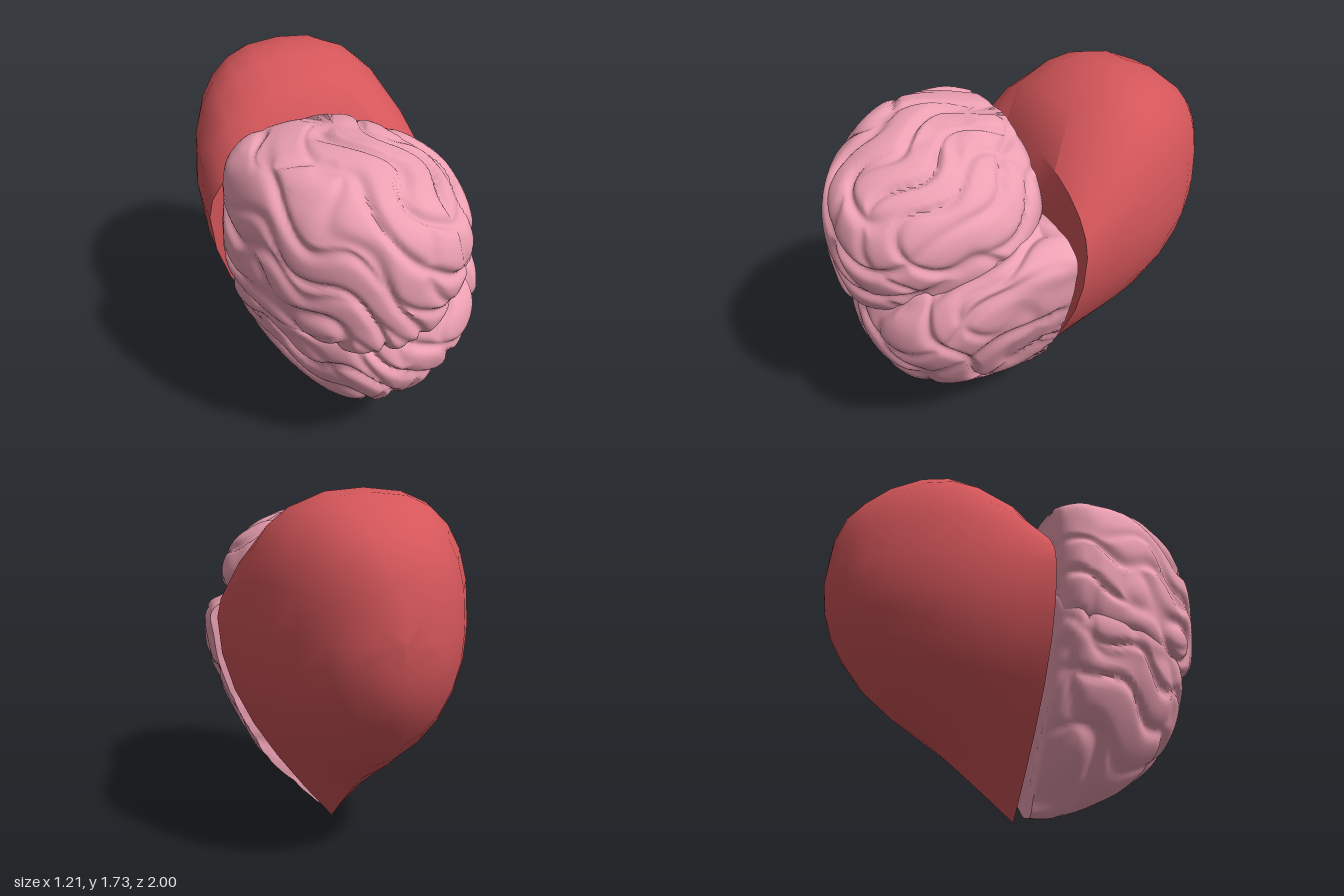
import * as THREE from 'three';
import { toCreasedNormals } from 'three/addons/utils/BufferGeometryUtils.js';

const { lerp, smoothstep } = THREE.MathUtils;

// Skin a stack of rings (arrays of [x, y, z]) into one surface, closed at both ends.
function skin(rings) {
  const n = rings[0].length, index = [];
  const collapse = (ring) => {
    const mid = [0, 1, 2].map((k) => ring.reduce((sum, p) => sum + p[k], 0) / n);
    return ring.map(() => mid);
  };
  const all = [collapse(rings[0]), ...rings, collapse(rings[rings.length - 1])];
  for (let i = 0; i < all.length - 1; i++) {
    for (let j = 0; j < n; j++) {
      const a = i * n + j, b = i * n + ((j + 1) % n);
      index.push(a, a + n, b + n, a, b + n, b);
    }
  }
  const g = new THREE.BufferGeometry();
  g.setAttribute('position', new THREE.Float32BufferAttribute(all.flat(2), 3));
  g.setIndex(index);
  g.computeVertexNormals();
  return g;
}

// Half heart: vertical slices running back from the cut face.
function heartGeometry() {
  // depth z, bottom y, top y, half width
  const slices = [
    [-0.01, 0, 1.46, 0.59], [-0.17, 0.13, 1.63, 0.578], [-0.35, 0.27, 1.71, 0.55],
    [-0.47, 0.36, 1.73, 0.52], [-0.6, 0.46, 1.71, 0.47], [-0.75, 0.58, 1.64, 0.385],
    [-0.86, 0.71, 1.55, 0.295], [-0.93, 0.82, 1.47, 0.215], [-0.975, 0.94, 1.35, 0.12], [-1, 1.1, 1.12, 0.01],
  ];
  const n = 24, midY = 1.1, midX = -0.012;
  const rings = slices.map(([z, bottom, top, w]) => {
    const ring = [];
    const p = lerp(1, 0.78, Math.min(1, -z * 2.5));
    for (let j = 0; j < n; j++) {
      const a = (j / n) * Math.PI * 2, c = Math.cos(a), s = Math.sin(a);
      if (s >= 0) {
        // shoulders, fuller away from the cut
        ring.push([midX + Math.sign(c) * Math.abs(c) ** p * w, midY + (top - midY) * s ** p, z]);
      } else {
        // pointed below at the cut, rounder toward the back
        const straight = Math.asin(-s) / (Math.PI / 2);
        const drop = lerp(straight, -s, Math.min(1, -z * 1.5));
        ring.push([midX + c * w, midY - (midY - bottom) * drop, z]);
      }
    }
    return ring;
  });
  return toCreasedNormals(skin(rings), 0.8);
}

// Depth of the folds: valleys between warped, rounded ridges.
function foldDepth(x, y, z, seed) {
  const u = x + 0.09 * Math.sin(7 * y + 4 * z + seed) + 0.05 * Math.sin(13 * z - 6 * y);
  const v = y + 0.1 * Math.sin(6 * x - 3 * z + seed * 2) + 0.05 * Math.sin(12 * x + 9 * z);
  const valley = (t) => Math.exp(-((Math.sin(t) / 0.42) ** 2));
  const across = valley(13 * v + 5 * z + 2 * Math.sin(4 * u));
  const down = valley(15 * u - 6 * z + 1.5 * Math.sin(5 * v + seed));
  const mix = 0.5 + 0.5 * Math.sin(5 * x + 4 * y - 6 * z + seed);
  return 0.034 * Math.max(across * (0.35 + 0.65 * mix), down * (1 - 0.6 * mix)) - 0.01;
}

// Brain lobe: horizontal levels [y, right x, left x, front z], flat at the back.
// peak places the front point between right and left; taper narrows the left side,
// and droop lowers the top, toward the back.
function lobeGeometry(levels, { backZ, peak, squareness, taper, droop, seed }) {
  const edges = new THREE.CatmullRomCurve3(levels.map(([y, a, b]) => new THREE.Vector3(a, y, b)));
  const fronts = new THREE.CatmullRomCurve3(levels.map(([y, , , f]) => new THREE.Vector3(f, y, 0)));
  const rows = 110, arc = 120, flat = 16, rings = [];
  for (let i = 0; i <= rows; i++) {
    const e = edges.getPoint(i / rows), f = fronts.getPoint(i / rows);
    const cx = lerp(e.x, e.z, peak), depth = Math.max(0, f.x - backZ);
    const ring = [];
    const place = (c, z) => {
      const near = Math.max(0, 1 - z / 0.5) ** 2;
      const round = 0.17 * Math.max(0, 1 - (z - backZ) / 0.15) ** 2;
      const reach = c > 0 ? (e.z - cx) * (1 - taper * near) : (cx - e.x) * (1 - round);
      ring.push([cx + c * reach, e.y - droop * near * smoothstep(e.y, 1.2, 1.6), z]);
    };
    for (let j = 0; j <= arc; j++) {
      const a = (j / arc) * Math.PI, c = Math.cos(a), s = Math.max(0, Math.sin(a));
      const p = c > 0 ? squareness : 0.95;
      place(Math.sign(c) * Math.abs(c) ** p, backZ + depth * s ** p);
    }
    for (let j = 1; j < flat; j++) place(-1 + (2 * j) / flat, backZ);
    rings.push(ring);
  }
  const g = skin(rings), pos = g.attributes.position, nor = g.attributes.normal;
  for (let i = 0; i < pos.count; i++) {
    const x = pos.getX(i), y = pos.getY(i), z = pos.getZ(i);
    // folds fade out toward the flat cut and the bottom tip
    const fade = smoothstep(z, backZ - 0.04, backZ + 0.07) * smoothstep(y, -0.05, 0.3);
    const d = foldDepth(x, y, z, seed) * fade;
    pos.setXYZ(i, x - nor.getX(i) * d, y - nor.getY(i) * d, z - nor.getZ(i) * d);
  }
  return toCreasedNormals(g, 1.25);
}

export function createModel() {
  const model = new THREE.Group();
  const red = new THREE.MeshStandardMaterial({ color: 0xd4565a });
  const pink = new THREE.MeshStandardMaterial({ color: 0xeca0b2 });
  const add = (parent, name, geometry, material) => {
    const mesh = new THREE.Mesh(geometry, material);
    mesh.name = name;
    parent.add(mesh);
  };

  add(model, 'heartHalf', heartGeometry(), red);

  const brain = new THREE.Group();
  brain.name = 'brainHalf';
  model.add(brain);

  add(brain, 'upperLobe', lobeGeometry([
    [0.8, -0.2, -0.1, 0.5], [0.81, -0.42, 0.06, 0.82], [0.87, -0.55, 0.32, 0.94],
    [1.0, -0.6, 0.43, 0.97], [1.15, -0.605, 0.48, 0.99], [1.3, -0.6, 0.475, 0.985],
    [1.42, -0.585, 0.42, 0.94], [1.52, -0.555, 0.31, 0.82], [1.59, -0.5, 0.17, 0.69],
    [1.62, -0.33, 0.08, 0.56], [1.63, -0.15, 0, 0.4],
  ], { backZ: 0.07, peak: 0.57, squareness: 0.82, taper: 0.5, droop: 0.07, seed: 1.3 }), pink);

  add(brain, 'lowerLobe', lobeGeometry([
    [0.02, -0.06, -0.05, 0.1], [0.04, -0.09, 0.02, 0.19], [0.1, -0.13, 0.09, 0.34],
    [0.2, -0.22, 0.19, 0.53], [0.35, -0.34, 0.33, 0.72], [0.5, -0.43, 0.415, 0.83],
    [0.7, -0.52, 0.51, 0.9], [0.85, -0.57, 0.565, 0.88], [1.0, -0.52, 0.585, 0.76],
    [1.1, -0.4, 0.6, 0.54], [1.17, -0.1, 0.53, 0.35], [1.2, 0.2, 0.46, 0.15],
  ], { backZ: 0.055, peak: 0.5, squareness: 0.64, taper: 0, droop: 0, seed: 4.1 }), pink);

  return model;
}
